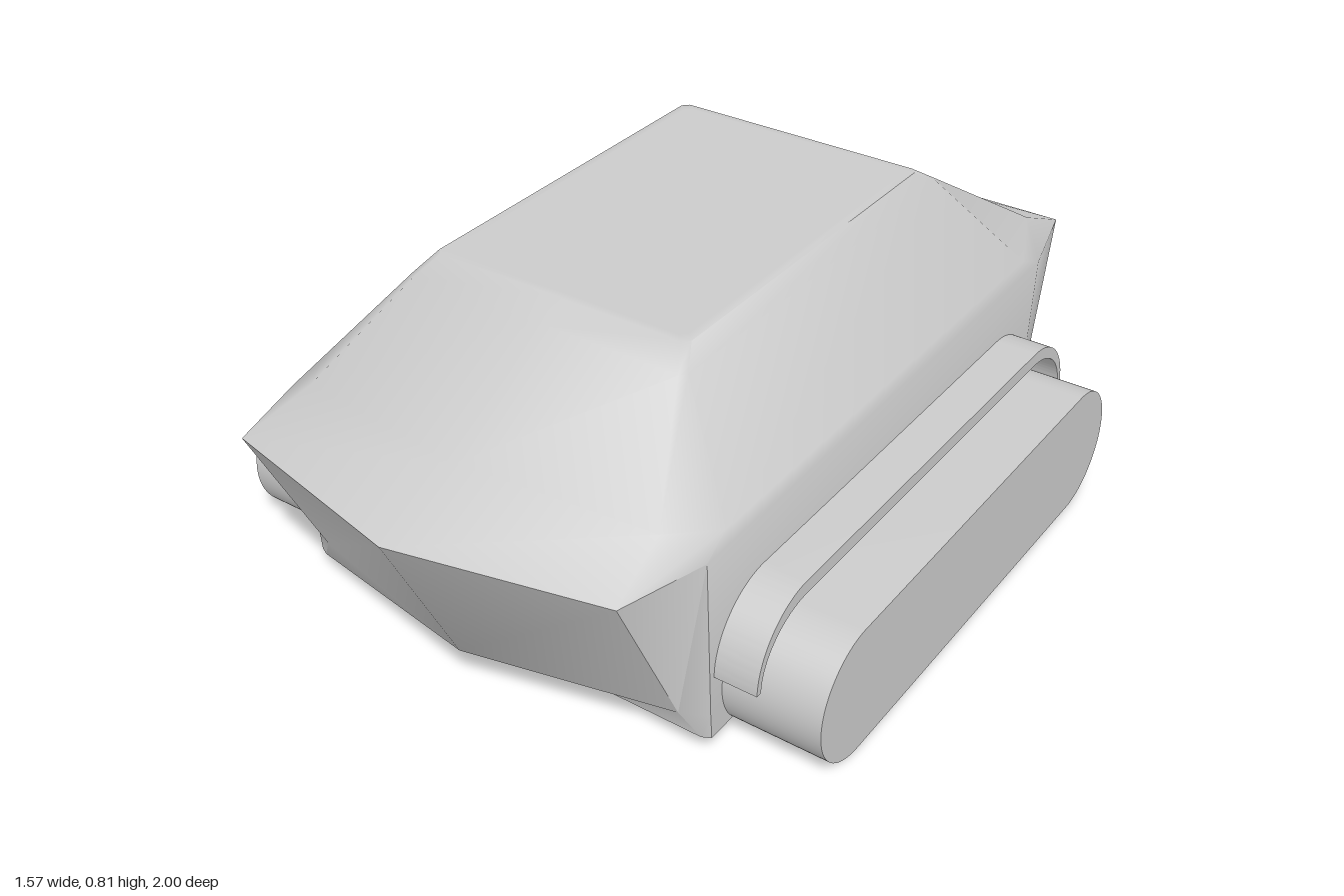
import * as THREE from 'three';
import { toCreasedNormals } from 'three/addons/utils/BufferGeometryUtils.js';

const MID_Z = -0.05; // the tracks sit slightly behind the centre

// Half outline from nose to tail along +x, mirrored into a closed loop
function mirrorRing(half) {
  const inner = half.slice(1, -1).reverse().map(([x, y, z]) => [-x, y, z]);
  return [...half, ...inner];
}

// Ring of constant height with small corner cuts (used for the roof)
function roofRing(x, y, front, rear) {
  const c = 0.015;
  return [[0, y, front], [x - c, y, front], [x, y, front - c],
    [x, y, rear + c], [x - c, y, rear], [0, y, rear]];
}

// Skin stacked rings, bottom to top, and close both ends
function loft(rings) {
  const n = rings[0].length;
  const points = rings.flat();
  const index = [];
  for (let i = 0; i < rings.length - 1; i++) {
    for (let j = 0; j < n; j++) {
      const k = (j + 1) % n;
      const a = i * n + j, b = i * n + k, c = b + n, d = a + n;
      index.push(a, b, c, a, c, d);
    }
  }
  const top = (rings.length - 1) * n;
  points.push([0, rings[0][0][1], 0], [0, rings[rings.length - 1][0][1], 0]);
  for (let j = 0; j < n; j++) {
    const k = (j + 1) % n;
    index.push(points.length - 2, k, j, points.length - 1, top + j, top + k);
  }
  const geometry = new THREE.BufferGeometry();
  geometry.setAttribute('position', new THREE.Float32BufferAttribute(points.flat(), 3));
  geometry.setIndex(index);
  return toCreasedNormals(geometry, 0.9);
}

// Extrude a (z, y) profile sideways, centred on x = 0
function sideways(shape, width) {
  const geometry = new THREE.ExtrudeGeometry(shape, { depth: width, bevelEnabled: false, curveSegments: 20 });
  geometry.translate(0, 0, -width / 2);
  geometry.rotateY(-Math.PI / 2);
  return toCreasedNormals(geometry, 0.6);
}

function trackShape() {
  const r = 0.16, h = 0.51;
  const shape = new THREE.Shape();
  shape.moveTo(-h, 0);
  shape.lineTo(h, 0);
  shape.absarc(h, r, r, -Math.PI / 2, Math.PI / 2, false);
  shape.lineTo(-h, 2 * r);
  shape.absarc(-h, r, r, Math.PI / 2, Math.PI * 1.5, false);
  return shape;
}

// Thin arch that follows the upper half of the track
function fenderShape() {
  const y = 0.212, h = 0.52;
  const shape = new THREE.Shape();
  shape.moveTo(h + 0.18, y);
  shape.absellipse(h, y, 0.18, 0.178, 0, Math.PI / 2, false, 0);
  shape.lineTo(-h, y + 0.178);
  shape.absellipse(-h, y, 0.18, 0.178, Math.PI / 2, Math.PI, false, 0);
  shape.lineTo(-h - 0.165, y);
  shape.absellipse(-h, y, 0.165, 0.145, Math.PI, Math.PI / 2, true, 0);
  shape.lineTo(h, y + 0.145);
  shape.absellipse(h, y, 0.165, 0.145, Math.PI / 2, 0, true, 0);
  return shape;
}

export function createModel() {
  const group = new THREE.Group();
  const material = new THREE.MeshStandardMaterial({ color: 0xcccccc });
  const add = (name, geometry, x = 0, z = 0) => {
    const mesh = new THREE.Mesh(geometry, material);
    mesh.name = name;
    mesh.position.set(x, 0, z);
    group.add(mesh);
  };

  // Hull: floor, lower chamfer, rim with pointed nose, shoulder, roof
  const rings = [
    [[0, 0.05, 0.665], [0.53, 0.05, 0.665], [0.55, 0.05, 0.655],
      [0.55, 0.05, -0.735], [0.53, 0.05, -0.745], [0, 0.05, -0.745]],
    [[0, 0.115, 0.8], [0.49, 0.115, 0.69], [0.55, 0.115, 0.66],
      [0.55, 0.115, -0.745], [0.49, 0.115, -0.785], [0, 0.115, -0.785]],
    [[0, 0.52, 1], [0.49, 0.52, 0.89], [0.55, 0.52, 0.68],
      [0.55, 0.52, -0.77], [0.49, 0.52, -1], [0, 0.52, -1]],
    [[0, 0.585, 0.77], [0.46, 0.57, 0.71], [0.54, 0.55, 0.6],
      [0.54, 0.55, -0.7], [0.47, 0.58, -0.86], [0, 0.59, -0.855]],
    roofRing(0.36, 0.77, 0.485, -0.575),
    roofRing(0.33, 0.81, 0.43, -0.515),
    roofRing(0.31, 0.81, 0.41, -0.495),
  ];
  add('hull', loft(rings.map(mirrorRing)));

  // Tracks and fenders on both sides
  const track = sideways(trackShape(), 0.235);
  const fender = sideways(fenderShape(), 0.105);
  for (const [side, s] of [['left', 1], ['right', -1]]) {
    add(side + 'Track', track, s * 0.6675, MID_Z);
    add(side + 'Fender', fender, s * 0.6, MID_Z);
  }
  return group;
}
